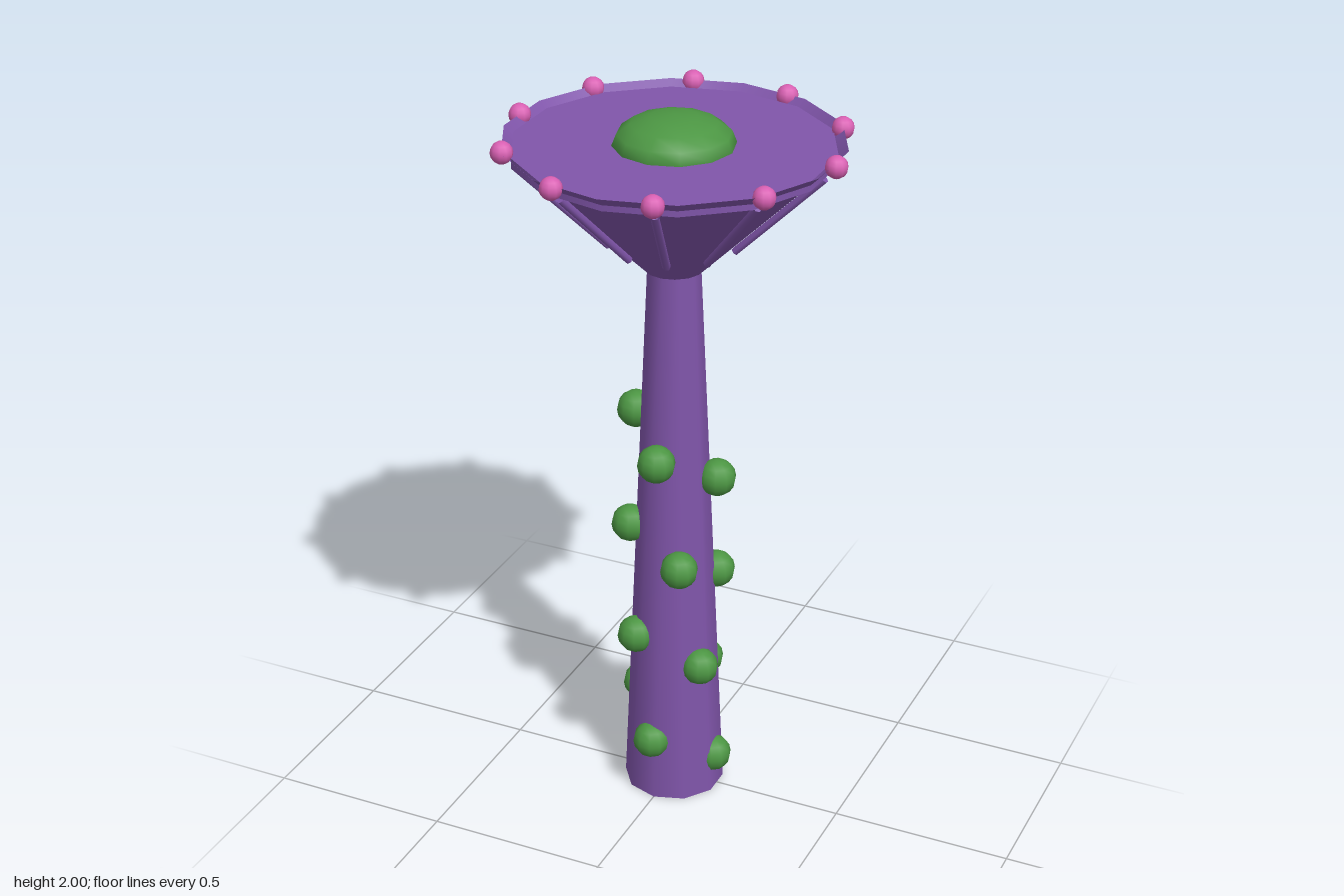
import * as THREE from 'three';

const purple = new THREE.MeshStandardMaterial({ color: 0x8055aa, side: THREE.DoubleSide });
purple.name = 'purple';
const green = new THREE.MeshStandardMaterial({ color: 0x4c9643 });
green.name = 'green';
const pink = new THREE.MeshStandardMaterial({ color: 0xd960b3 });
pink.name = 'pink';

export function createModel() {
  const group = new THREE.Group();
  const add = (name, geometry, material, x = 0, y = 0, z = 0) => {
    const mesh = new THREE.Mesh(geometry, material);
    mesh.name = name;
    mesh.position.set(x, y, z);
    group.add(mesh);
    return mesh;
  };

  // Tapered stalk
  add('stalk', new THREE.CylinderGeometry(0.07, 0.14, 1.6, 10), purple, 0, 0.8, 0);

  // Flared funnel with a closed foot and an inset disc just below its rim
  add('funnel', new THREE.CylinderGeometry(0.445, 0.08, 0.355, 14, 1, true), purple, 0, 1.7575, 0);
  add('funnelFoot', new THREE.CylinderGeometry(0.08, 0.08, 0.004, 14), purple, 0, 1.582, 0);
  add('disc', new THREE.CylinderGeometry(0.42, 0.42, 0.025, 14), purple, 0, 1.9075, 0);

  // Flattened dome in the middle of the disc
  const dome = add('dome', new THREE.SphereGeometry(0.16, 12, 8), green, 0, 1.92, 0);
  dome.scale.y = 0.5;

  // Ribs under the funnel, each ending at a bead on the rim
  const up = new THREE.Vector3(0, 1, 0);
  const beadGeometry = new THREE.SphereGeometry(0.03, 10, 8);
  for (let i = 0; i < 10; i++) {
    const a = (i / 10) * Math.PI * 2;
    const c = Math.cos(a), s = Math.sin(a);
    const low = new THREE.Vector3(0.17 * c, 1.655, 0.17 * s);
    const high = new THREE.Vector3(0.41 * c, 1.893, 0.41 * s);
    const dir = high.clone().sub(low);
    const mid = low.clone().add(high).multiplyScalar(0.5);
    const rib = add('rib', new THREE.CylinderGeometry(0.011, 0.011, dir.length(), 6), purple, mid.x, mid.y, mid.z);
    rib.quaternion.setFromUnitVectors(up, dir.normalize());
    add('rimBead', beadGeometry, pink, 0.44 * c, 1.93, 0.44 * s);
  }

  // Bumps spiralling up the stalk
  const bumpGeometry = new THREE.SphereGeometry(0.052, 10, 8);
  for (let i = 0; i < 14; i++) {
    const a = i * 1.7;
    add('bump', bumpGeometry, green, 0.12 * Math.cos(a), 0.1 + i * 0.08, 0.12 * Math.sin(a));
  }

  return group;
}
